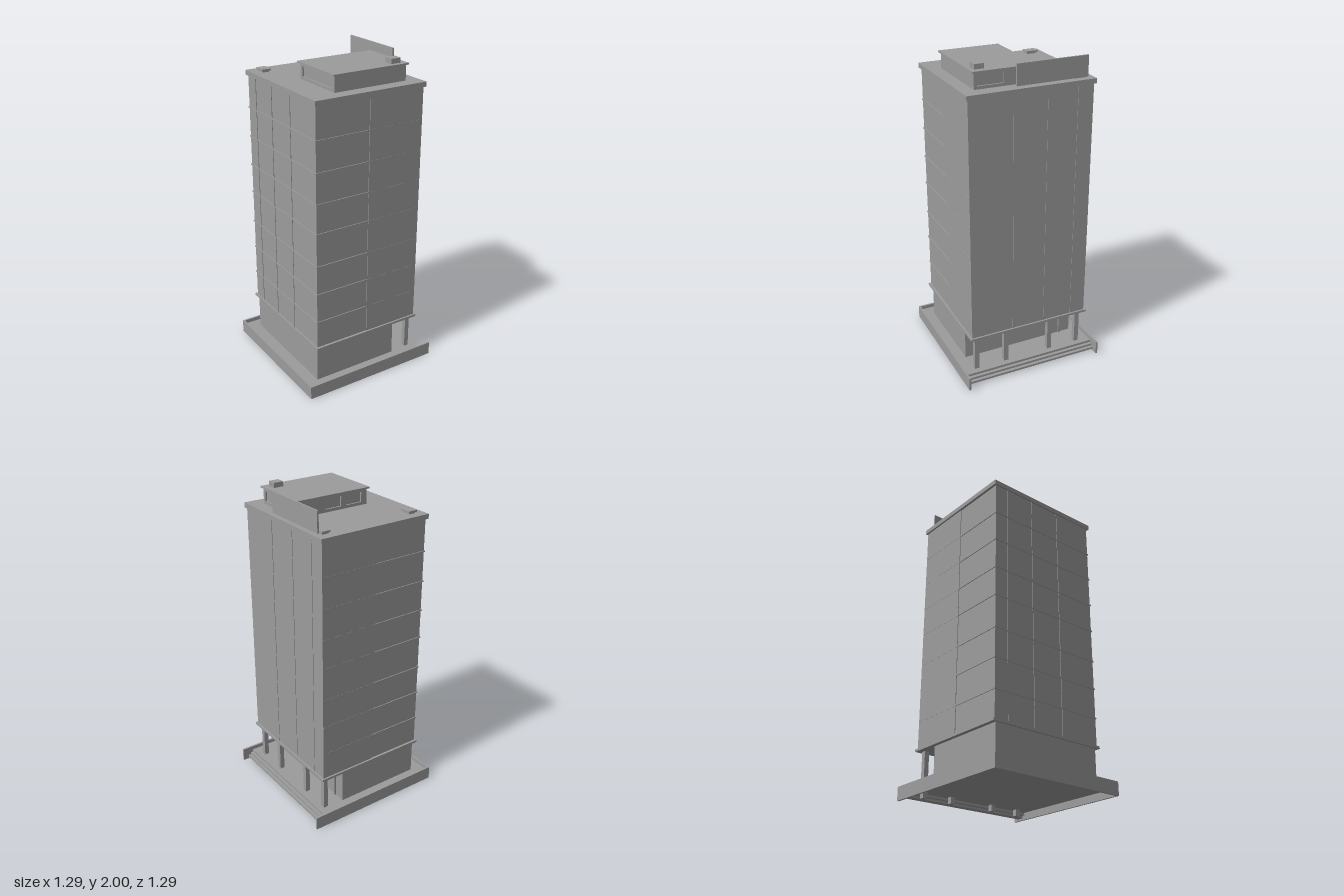
import * as THREE from 'three';

const mat = new THREE.MeshStandardMaterial({ color: 0x9c9c9c });

export function createModel() {
  const model = new THREE.Group();
  model.name = 'towerBlock';

  // Box given by its extents on each axis
  const box = (name, x0, x1, y0, y1, z0, z1, parent = model) => {
    const m = new THREE.Mesh(new THREE.BoxGeometry(x1 - x0, y1 - y0, z1 - z0), mat);
    m.position.set((x0 + x1) / 2, (y0 + y1) / 2, (z0 + z1) / 2);
    m.name = name;
    parent.add(m);
  };

  // Site: thin floor with a kerb wall on three sides
  box('floor', -0.447, 0.385, 0.045, 0.06, -0.447, 0.447);
  box('backKerb', -0.459, -0.447, 0, 0.085, -0.459, 0.459);
  for (const s of [-1, 1]) {
    const z = s * 0.453;
    box('sideKerb', -0.447, 0.459, 0, 0.085, z - 0.006, z + 0.006);
  }

  // Entrance steps
  for (let i = 0; i < 2; i++) {
    box('step', 0.36 + i * 0.018, 0.403 + i * 0.018, 0.029 - i * 0.016, 0.043 - i * 0.016, -0.447, 0.447);
  }

  // Ground floor, set back behind a row of columns
  box('groundFloor', -0.364, 0.207, 0.06, 0.29, -0.379, 0.379);
  for (const z of [-0.357, -0.155, 0.155, 0.357]) {
    box('column', 0.317, 0.347, 0.005, 0.29, z - 0.015, z + 0.015);
  }
  box('entrancePost', 0.207, 0.217, 0.06, 0.235, -0.305, -0.295);

  // Tower body between two overhanging slabs
  box('lowerSlab', -0.378, 0.374, 0.29, 0.305, -0.405, 0.405);
  box('tower', -0.368, 0.363, 0.305, 1.83, -0.39, 0.39);
  box('roofSlab', -0.378, 0.374, 1.83, 1.86, -0.405, 0.405);

  // Side cladding, stepped slightly at the middle seam
  for (const s of [-1, 1]) {
    const z = s * 0.392;
    box('sideCladding', -0.01, 0.363, 0.305, 1.83, z - 0.002, z + 0.002);
  }

  // Floor bands and vertical mullions
  for (const y of [0.48, 0.67, 0.855, 1.065, 1.25, 1.44, 1.63]) {
    box('floorBand', -0.373, 0.36, y - 0.004, y + 0.004, -0.395, 0.395);
  }
  for (const z of [-0.295, -0.1, 0.115]) {
    box('rearMullion', -0.372, -0.368, 0.305, 1.83, z - 0.003, z + 0.003);
    box('frontMullion', 0.363, 0.366, 0.305, 1.83, z - 0.003, z + 0.003);
  }

  // Penthouse: core plus wall panels with window openings
  const penthouse = new THREE.Group();
  penthouse.name = 'penthouse';
  model.add(penthouse);
  const px0 = -0.204, px1 = 0.286, pz0 = -0.042, pz1 = 0.323, t = 0.01;
  box('penthouseCore', px0 + t, px1 - t, 1.86, 1.955, pz0 + t, pz1 - t, penthouse);

  const wall = (name, width, windows, x, z, turn) => {
    const s = new THREE.Shape();
    s.moveTo(0, 0).lineTo(width, 0).lineTo(width, 0.095).lineTo(0, 0.095).closePath();
    for (const [a, b] of windows) {
      const h = new THREE.Path();
      h.moveTo(a, 0.018).lineTo(a, 0.078).lineTo(b, 0.078).lineTo(b, 0.018).closePath();
      s.holes.push(h);
    }
    const m = new THREE.Mesh(new THREE.ExtrudeGeometry(s, { depth: t, bevelEnabled: false }), mat);
    m.name = name;
    m.position.set(x, 1.86, z);
    m.rotation.y = turn;
    penthouse.add(m);
  };
  const w = px1 - px0, d = pz1 - pz0;
  wall('plainWall', w, [], px0, pz1 - t, 0);
  wall('twoWindowWall', w, [[0.193, 0.305], [0.339, 0.451]], px1, pz0 + t, Math.PI);
  wall('frontWindowWall', d, [[0.02, 0.18]], px1 - t, pz1, Math.PI / 2);
  wall('rearWindowWall', d, [[0.022, 0.343]], px0 + t, pz0, -Math.PI / 2);
  box('penthouseRoof', -0.217, 0.298, 1.955, 1.965, -0.055, 0.335, penthouse);
  box('roofVent', 0.193, 0.257, 1.965, 1.995, 0.249, 0.307, penthouse);

  // Rooftop service units on small bases
  for (const x of [-0.3, 0.308]) {
    box('unitBase', x - 0.021, x + 0.021, 1.86, 1.868, -0.348, -0.288);
    box('serviceUnit', x - 0.029, x + 0.029, 1.868, 1.88, -0.356, -0.28);
  }

  // Blank rooftop board
  box('roofBoard', 0.353, 0.363, 1.873, 2, -0.352, 0.1);

  // The whole block stands at an angle
  model.rotation.y = 0.712;
  const root = new THREE.Group();
  root.name = 'building';
  root.add(model);
  return root;
}
